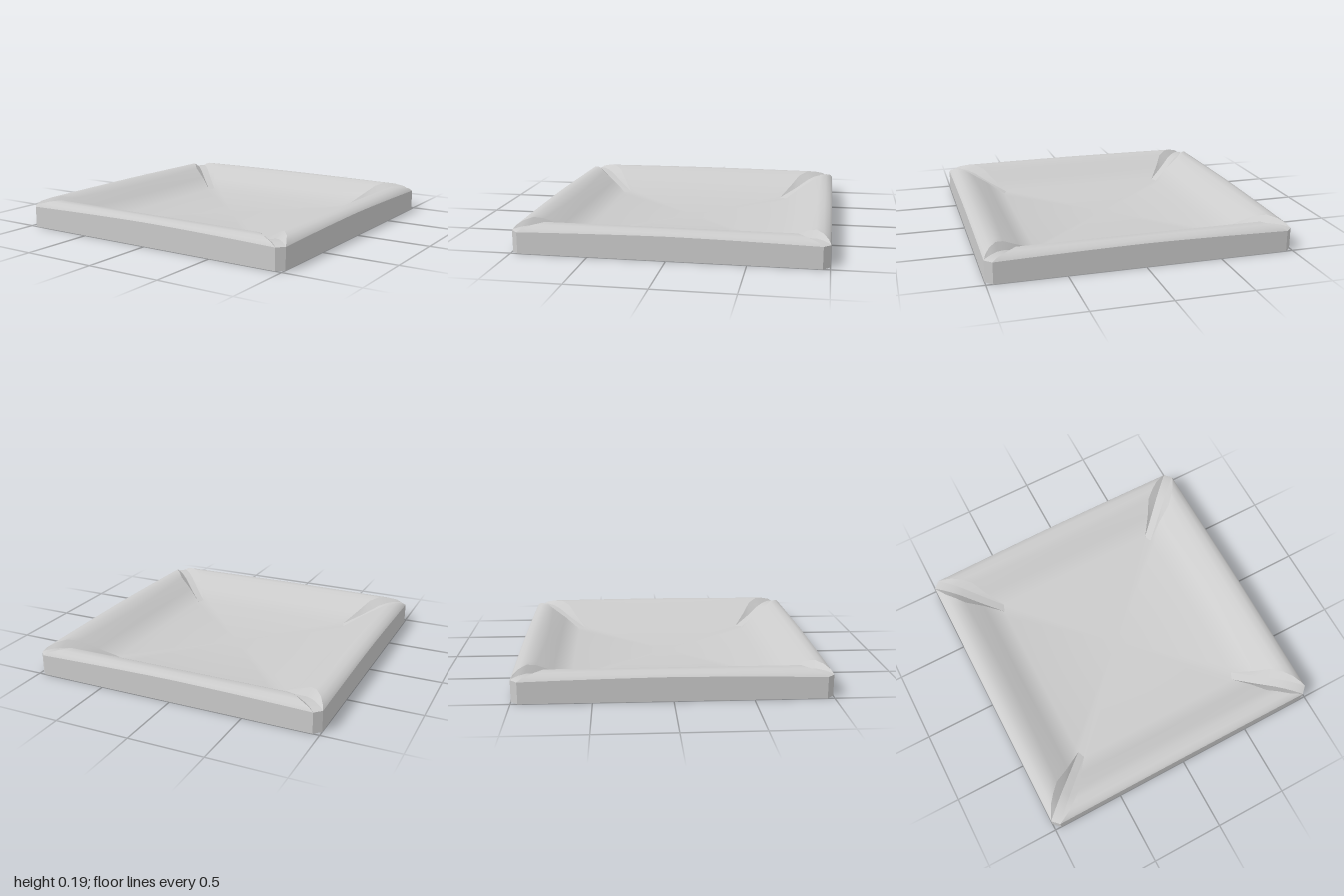
import * as THREE from 'three';
import { mergeGeometries, mergeVertices } from 'three/addons/utils/BufferGeometryUtils.js';

// Rim section from wall top to floor: [t outwards, y] in the middle of a side,
// [s along the side, t, y] at its ends, and y of the corner valley.
const SECTION = [
  { mid: [1.0, 0.157], end: [0.955, 1.0, 0.14], valley: 0.14 },
  { mid: [0.985, 0.175], end: [0.92, 0.985, 0.163], valley: 0.147 },
  { mid: [0.95, 0.187], end: [0.86, 0.955, 0.18], valley: 0.152 },
  { mid: [0.9, 0.185], end: [0.8, 0.91, 0.188], valley: 0.15 },
  { mid: [0.84, 0.155], end: [0.74, 0.86, 0.165], valley: 0.135 },
  { mid: [0.76, 0.1], end: [0.68, 0.76, 0.105], valley: 0.08 },
  { mid: [0.65, 0.03], end: [0.6, 0.65, 0.03], valley: 0.03 },
];
const INNER = [0.65, 0.62]; // floor half sizes in z and x
const STEPS = 24;
const NAMES = ['front', 'left', 'back', 'right'];

// Turn a point of a side into model space, side 0 being the front
function place(side, s, t, y) {
  return [[s, y, t], [t, y, -s], [-s, y, -t], [-t, y, s]][side % 4];
}

// Fit the section depth to the side's floor edge
const fit = (side, t) => 1 - (1 - t) * (1 - INNER[side % 2]) / 0.35;

function sheet(rows) {
  const n = rows[0].length;
  const index = [];
  for (let k = 0; k < rows.length - 1; k++) {
    for (let j = 0; j < n - 1; j++) {
      const a = k * n + j, c = a + n;
      index.push(a, a + 1, c, a + 1, c + 1, c);
    }
  }
  const geometry = new THREE.BufferGeometry();
  geometry.setAttribute('position', new THREE.Float32BufferAttribute(rows.flat(2), 3));
  geometry.setIndex(index);
  geometry.computeVertexNormals();
  return geometry;
}

// Bowed rim of one side, curving over and down to the floor
function sideRows(side) {
  return SECTION.map(({ mid, end }) => {
    const row = [];
    for (let j = 0; j <= STEPS; j++) {
      const v = (j / STEPS) * 2 - 1;
      const f = Math.abs(v) ** 1.5;
      const t = THREE.MathUtils.lerp(mid[0], end[1], f);
      const y = THREE.MathUtils.lerp(mid[1], end[2], f);
      row.push(place(side, v * end[0], fit(side, t), y));
    }
    return row;
  });
}

// Edge of the corner valley, straight in plan
function valleyEdge(side, sign) {
  return SECTION.map(({ end, valley }) => {
    const u = (1 - end[1]) / 0.35;
    return place(side, sign * THREE.MathUtils.lerp(0.955, 0.6, u), fit(side, end[1]), valley);
  });
}

export function createModel() {
  const group = new THREE.Group();
  const material = new THREE.MeshStandardMaterial({ color: 0xcccccc, side: THREE.DoubleSide });
  const add = (name, geometry) => {
    const mesh = new THREE.Mesh(geometry, material);
    mesh.name = name;
    group.add(mesh);
  };
  const ground = (row) => row.map(([x, , z]) => [x, 0, z]);
  const between = (a, b) => a.map((p, k) => [p, b[k]]);

  const sides = NAMES.map((_, i) => sideRows(i));

  // Dish: four rims flowing smoothly into the floor
  const ring = sides.flatMap((rows) => rows[rows.length - 1]);
  ring.push(ring[0]);
  const floor = sheet([ring, ring.map(() => [0, 0.03, 0])]);
  const dish = mergeGeometries([...sides.map(sheet), floor]);
  dish.deleteAttribute('normal');
  const smoothDish = mergeVertices(dish, 1e-4);
  smoothDish.computeVertexNormals();
  add('dish', smoothDish);

  NAMES.forEach((name, i) => {
    const rows = sides[i], next = sides[(i + 1) % 4];
    // Upright outer wall
    add(`${name}Wall`, sheet([ground(rows[0]), rows[0]]));

    // Corner: chamfer, valley and the two folds up to the rims
    const a = valleyEdge(i, 1), b = valleyEdge(i + 1, -1);
    const top = [a[0], b[0]];
    add(`${name}CornerChamfer`, sheet([ground(top), top]));
    add(`${name}CornerValley`, sheet(between(a, b)));
    add(`${name}CornerFoldA`, sheet(between(rows.map((r) => r[STEPS]), a)));
    add(`${name}CornerFoldB`, sheet(between(b, next.map((r) => r[0]))));
  });
  return group;
}
